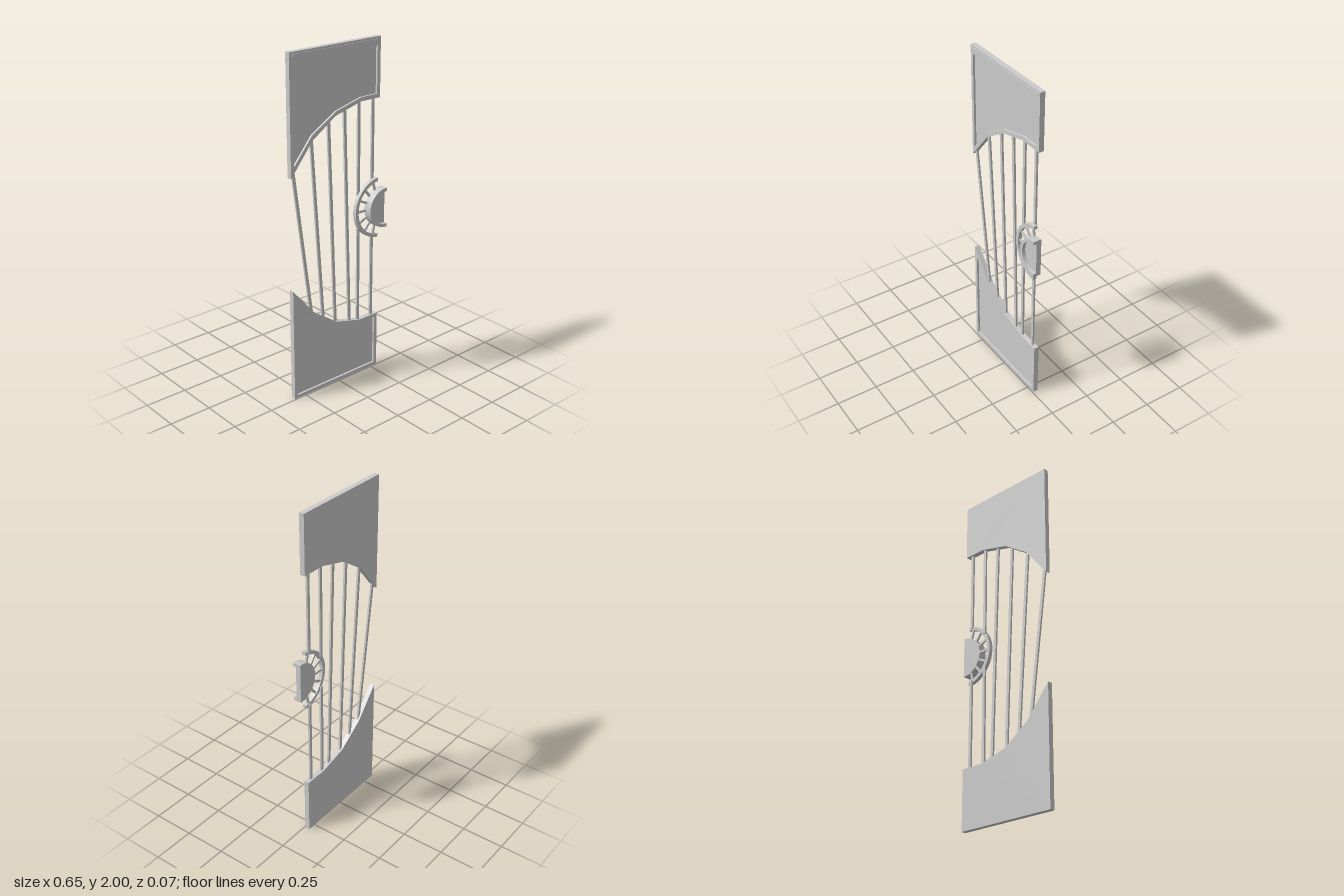
import * as THREE from 'three';

const material = new THREE.MeshStandardMaterial({ color: 0xcccccc, flatShading: true });

function makeMesh(name, geometry) {
  const mesh = new THREE.Mesh(geometry, material);
  mesh.name = name;
  return mesh;
}

// Extrude an outline (with optional holes) between two z values
function slab(name, outline, holes, z0, z1) {
  const toVectors = (pts) => pts.map(([x, y]) => new THREE.Vector2(x, y));
  const shape = new THREE.Shape(toVectors(outline));
  for (const hole of holes) shape.holes.push(new THREE.Path(toVectors(hole)));
  const geometry = new THREE.ExtrudeGeometry(shape, { depth: z1 - z0, bevelEnabled: false });
  geometry.translate(0, 0, z0);
  return makeMesh(name, geometry);
}

// Straight square bar between two points in the xy plane
function bar(name, [x0, y0], [x1, y1], width, z0, z1) {
  const length = Math.hypot(x1 - x0, y1 - y0);
  const mesh = makeMesh(name, new THREE.BoxGeometry(width, length, z1 - z0));
  mesh.position.set((x0 + x1) / 2, (y0 + y1) / 2, (z0 + z1) / 2);
  mesh.rotation.z = Math.atan2(y1 - y0, x1 - x0) - Math.PI / 2;
  return mesh;
}

// Points along the left-facing arc, from the top round to the bottom
function arc(cx, cy, radius, start, end, segments) {
  const points = [];
  for (let i = 0; i <= segments; i++) {
    const a = THREE.MathUtils.degToRad(start + ((end - start) * i) / segments);
    points.push([cx + radius * Math.cos(a), cy + radius * Math.sin(a)]);
  }
  return points;
}

// Solid panel with a raised border round a shallow recess
function framedPanel(name, outline, recess) {
  const panel = new THREE.Group();
  panel.name = name;
  panel.add(slab(name + 'Back', outline, [], -0.035, -0.017));
  panel.add(slab(name + 'Border', outline, [recess], -0.017, -0.005));
  return panel;
}

export function createModel() {
  const door = new THREE.Group();
  door.name = 'gatePanel';

  // Upper and lower panels with faceted, curved inner edges
  door.add(framedPanel('upperPanel',
    [[-0.327, 2], [-0.327, 1.33], [-0.18, 1.51], [-0.02, 1.615], [0.16, 1.662], [0.3, 1.662], [0.3, 2]],
    [[-0.307, 1.95], [-0.307, 1.39], [-0.182, 1.54], [-0.015, 1.64], [0.16, 1.685], [0.278, 1.685], [0.278, 1.95]]));
  door.add(framedPanel('lowerPanel',
    [[-0.327, 0], [0.3, 0], [0.3, 0.345], [0.16, 0.345], [-0.015, 0.39], [-0.18, 0.505], [-0.327, 0.68]],
    [[-0.307, 0.02], [0.278, 0.02], [0.278, 0.325], [0.16, 0.325], [-0.018, 0.365], [-0.182, 0.478], [-0.307, 0.615]]));

  // Thin bead along the top border
  const bead = makeMesh('topBead', new THREE.BoxGeometry(0.59, 0.015, 0.004));
  bead.position.set(-0.009, 1.98, -0.004);
  door.add(bead);

  // Fanned rails; the two nearest the handle stop at its ring
  const rails = [
    [[-0.19, 0.5], [-0.307, 1.37]],
    [[-0.105, 0.44], [-0.18, 1.525]],
    [[-0.015, 0.38], [-0.06, 1.605]],
    [[0.092, 0.36], [0.053, 1.645]],
    [[0.157, 0.34], [0.157, 0.92]],
    [[0.157, 1.12], [0.157, 1.67]],
    [[0.26, 0.34], [0.26, 0.86]],
    [[0.26, 1.185], [0.26, 1.67]],
  ];
  for (const [a, b] of rails) door.add(bar('rail', a, b, 0.018, -0.025, -0.014));

  // Half ring round the handle
  const cx = 0.3, cy = 1.022;
  door.add(slab('handleRing',
    [...arc(cx, cy, 0.181, 95, 265, 20), ...arc(cx, cy, 0.16, 265, 95, 20)], [], -0.018, 0.005));

  // Spokes between handle and ring
  for (let i = -3; i <= 3; i++) {
    const a = Math.PI + THREE.MathUtils.degToRad(i * 25);
    const at = (r) => [cx + r * Math.cos(a), cy + r * Math.sin(a)];
    door.add(bar('spoke', at(0.09), at(0.168), 0.013, -0.014, -0.003));
  }

  // Half-round handle: base plate with a raised rim open on its straight side
  const hx = 0.32, edge = 0.327;
  const outer = [[edge, cy + 0.118], ...arc(hx, cy, 0.118, 90, 270, 14), [edge, cy - 0.118]];
  const inner = [[edge, cy - 0.098], ...arc(hx, cy, 0.098, 270, 90, 14), [edge, cy + 0.098]];
  door.add(slab('handlePlate', outer, [], -0.015, 0.015));
  door.add(slab('handleRim', [...outer, ...inner], [], 0.015, 0.035));

  return door;
}
